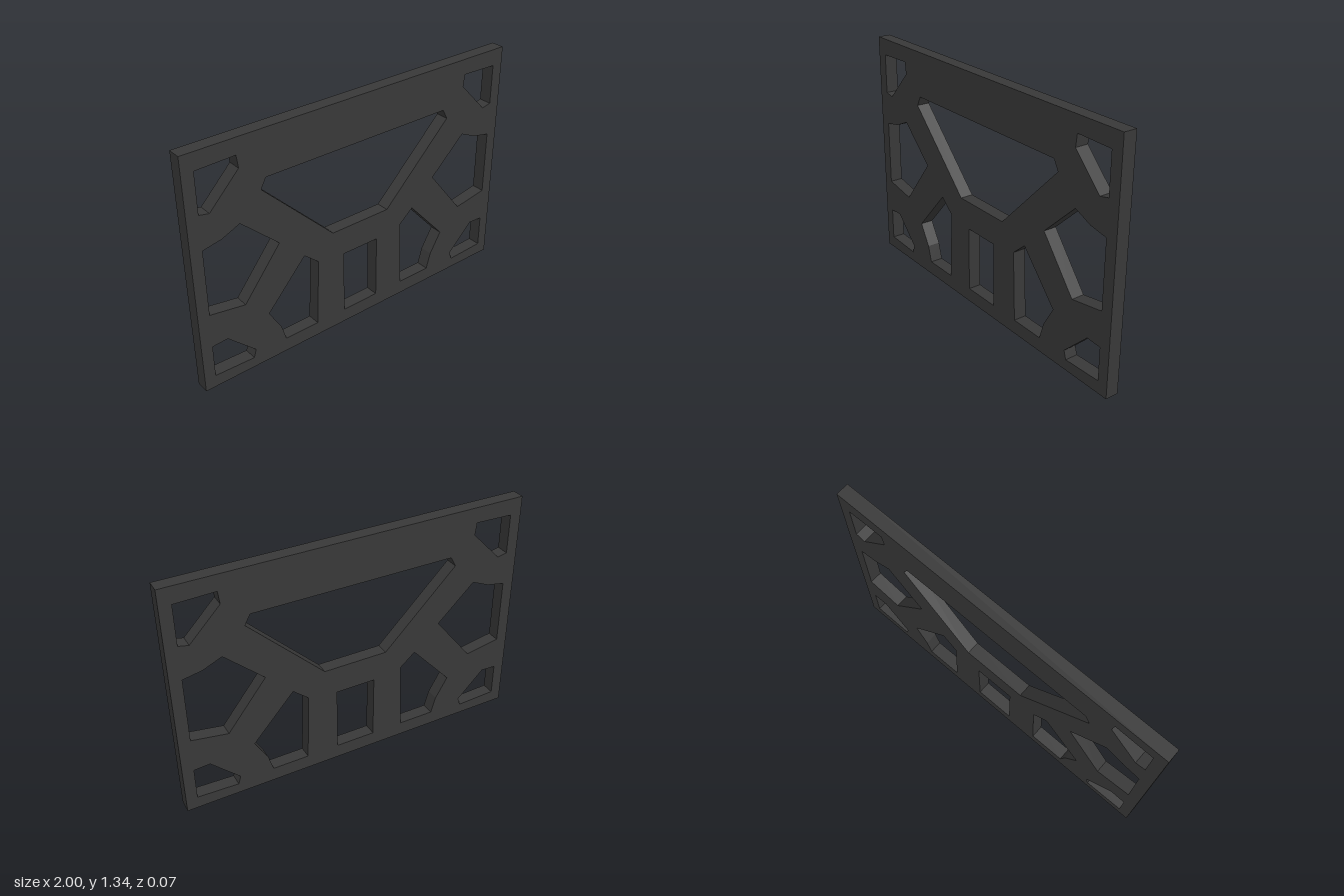
import * as THREE from 'three';

const WIDTH = 2, HEIGHT = 1.337, DEPTH = 0.074;

// Cut-outs that cross the centre line
const centreHoles = [
  [[-0.57, 1.083], [0.57, 1.083], [0.6, 1.027], [0.183, 0.612], [-0.183, 0.612], [-0.6, 1.027]],
  [[-0.113, 0.452], [0.113, 0.452], [0.113, 0.08], [-0.113, 0.08]],
];

// Cut-outs on the +x side, mirrored to the other side
const sideHoles = [
  [[0.935, 1.243], [0.719, 1.249], [0.711, 1.18], [0.88, 1.006], [0.935, 1.018]], // upper corner
  [[0.935, 0.826], [0.83, 0.846], [0.728, 0.891], [0.515, 0.692], [0.733, 0.417], [0.935, 0.452]], // middle
  [[0.938, 0.257], [0.85, 0.262], [0.693, 0.107], [0.708, 0.06], [0.938, 0.07]], // lower corner
  [[0.368, 0.55], [0.281, 0.476], [0.297, 0.08], [0.503, 0.08], [0.53, 0.174], [0.6, 0.294]], // lower slot
];

const toPath = (points, side = 1) =>
  new THREE.Path(points.map(([x, y]) => new THREE.Vector2(x * side, y)));

export function createModel() {
  const charcoal = new THREE.MeshStandardMaterial({ color: 0x383838 });
  charcoal.name = 'charcoal';

  // Rectangular plate pierced by all the cut-outs
  const w = WIDTH / 2;
  const outline = new THREE.Shape([[-w, 0], [w, 0], [w, HEIGHT], [-w, HEIGHT]]
    .map(([x, y]) => new THREE.Vector2(x, y)));
  outline.holes.push(...centreHoles.map((hole) => toPath(hole)));
  for (const side of [1, -1]) {
    outline.holes.push(...sideHoles.map((hole) => toPath(hole, side)));
  }

  const geometry = new THREE.ExtrudeGeometry(outline, { depth: DEPTH, bevelEnabled: false });
  geometry.translate(0, 0, -DEPTH / 2);

  const panel = new THREE.Mesh(geometry, charcoal);
  panel.name = 'latticePanel';

  const model = new THREE.Group();
  model.name = 'cutOutPanel';
  model.add(panel);
  return model;
}
